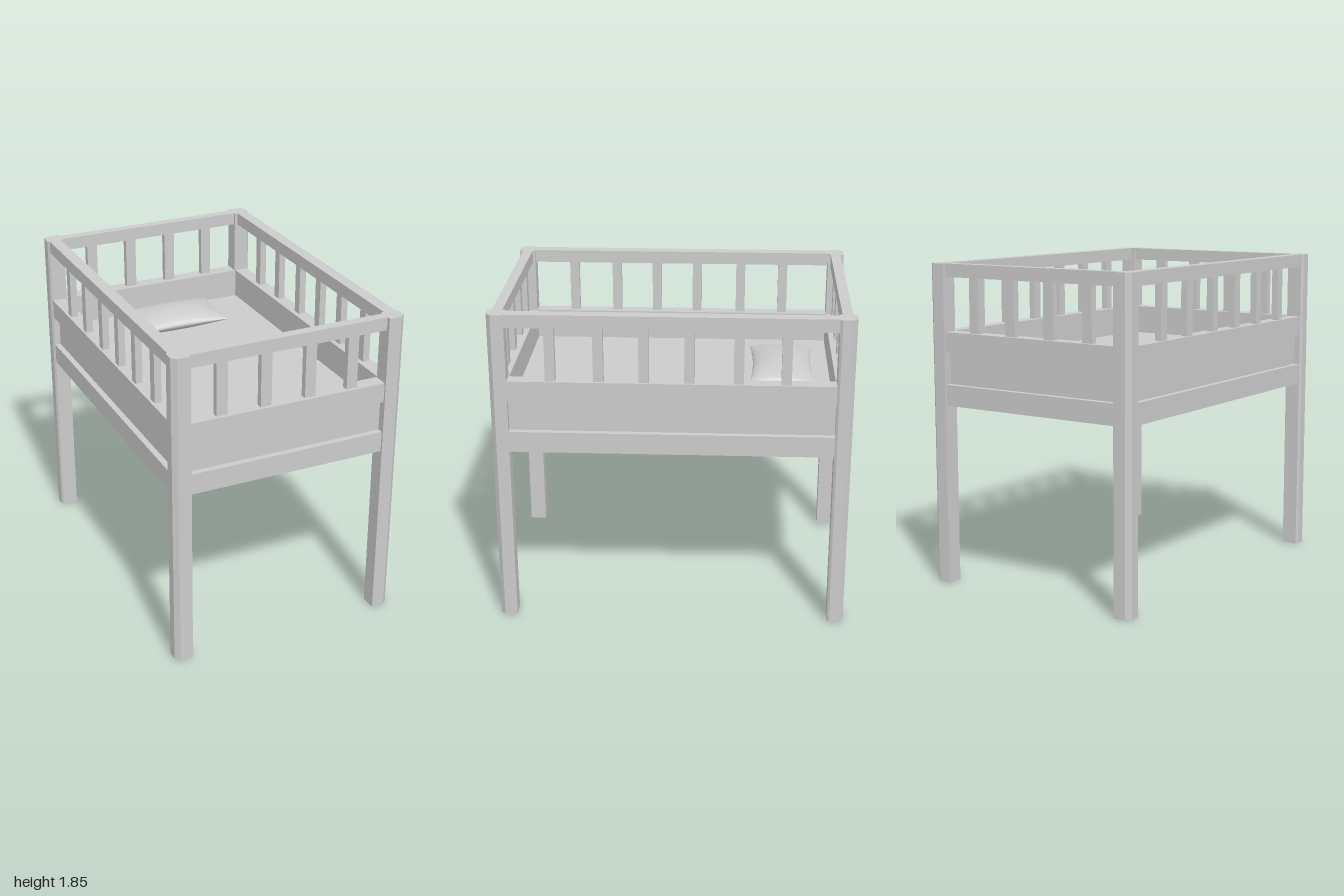
import * as THREE from 'three';

const material = new THREE.MeshStandardMaterial({ color: 0xcccccc, flatShading: true });
const softMaterial = new THREE.MeshStandardMaterial({ color: 0xcccccc, side: THREE.DoubleSide });

// Box given by its min and max along each axis
function box(name, [x0, x1], [y0, y1], [z0, z1]) {
  const mesh = new THREE.Mesh(new THREE.BoxGeometry(x1 - x0, y1 - y0, z1 - z0), material);
  mesh.position.set((x0 + x1) / 2, (y0 + y1) / 2, (z0 + z1) / 2);
  mesh.name = name;
  return mesh;
}

// Range from a to b, mirrored when s is -1
const span = (s, a, b) => (s > 0 ? [a, b] : [-b, -a]);

// Corner post with a chamfered outer corner
function cornerPost(sx, sz) {
  const outline = [[0.58, 0.905], [0.672, 0.905], [0.682, 0.918], [0.682, 0.975], [0.655, 1], [0.58, 1]];
  const shape = new THREE.Shape(outline.map(([x, z]) => new THREE.Vector2(sx * x, -sz * z)));
  const geometry = new THREE.ExtrudeGeometry(shape, { depth: 1.845, bevelEnabled: false });
  geometry.rotateX(-Math.PI / 2);
  const mesh = new THREE.Mesh(geometry, material);
  mesh.name = 'cornerPost';
  return mesh;
}

// Half of the pillow: a grid pinched at the rim and puffed up in the middle
function pillowHalf(side) {
  const geometry = new THREE.PlaneGeometry(2, 2, 32, 24).rotateX(-side * Math.PI / 2);
  const p = geometry.attributes.position;
  for (let i = 0; i < p.count; i++) {
    const u = Math.sin(p.getX(i) * Math.PI / 2);
    const v = Math.sin(p.getZ(i) * Math.PI / 2);
    const puff = Math.pow(Math.max(0, (1 - u * u) * (1 - v * v)), 0.55);
    p.setXYZ(i,
      0.318 * u * (1 - 0.08 * (1 - v * v)),
      side * 0.065 * puff,
      0.19 * v * (1 - 0.11 * (1 - u * u)));
  }
  geometry.computeVertexNormals();
  const mesh = new THREE.Mesh(geometry, softMaterial);
  mesh.name = side > 0 ? 'pillowTop' : 'pillowUnderside';
  return mesh;
}

export function createModel() {
  const model = new THREE.Group();
  model.name = 'railedBed';

  for (const sx of [-1, 1]) for (const sz of [-1, 1]) model.add(cornerPost(sx, sz));

  // Planks of each wall: the middle one is set back
  const planks = [
    ['lowerPlank', [1.04, 1.16], 0],
    ['middlePlank', [1.16, 1.345], 0.035],
    ['upperPlank', [1.345, 1.46], 0],
  ];
  const railY = [1.77, 1.845], slatY = [1.46, 1.77];

  for (const s of [-1, 1]) {
    // Long side walls
    const side = new THREE.Group();
    side.name = s > 0 ? 'leftWall' : 'rightWall';
    for (const [name, y, inset] of planks) {
      side.add(box(name, span(s, 0.587, 0.67 - inset), y, [-0.905, 0.905]));
    }
    side.add(box('topRail', span(s, 0.6, 0.67), railY, [-0.905, 0.905]));
    for (const z of [0.665, 0.4, 0.15, -0.1, -0.37, -0.63]) {
      side.add(box('slat', span(s, 0.615, 0.655), slatY, [z - 0.028, z + 0.028]));
    }
    model.add(side);

    // Short end walls
    const end = new THREE.Group();
    end.name = s > 0 ? 'frontWall' : 'backWall';
    for (const [name, y, inset] of planks) {
      end.add(box(name, [-0.58, 0.58], y, span(s, 0.9, 0.988 - inset)));
    }
    end.add(box('topRail', [-0.58, 0.58], railY, span(s, 0.92, 0.978)));
    for (const x of [-0.39, -0.133, 0.13, 0.385]) {
      end.add(box('slat', [x - 0.032, x + 0.032], slatY, span(s, 0.93, 0.968)));
    }
    model.add(end);
  }

  // Bed base filling the frame
  model.add(box('mattress', [-0.588, 0.588], [1.042, 1.285], [-0.902, 0.902]));

  const pillow = new THREE.Group();
  pillow.name = 'pillow';
  pillow.add(pillowHalf(1), pillowHalf(-1));
  pillow.position.set(0.007, 1.345, -0.62);
  model.add(pillow);

  return model;
}
